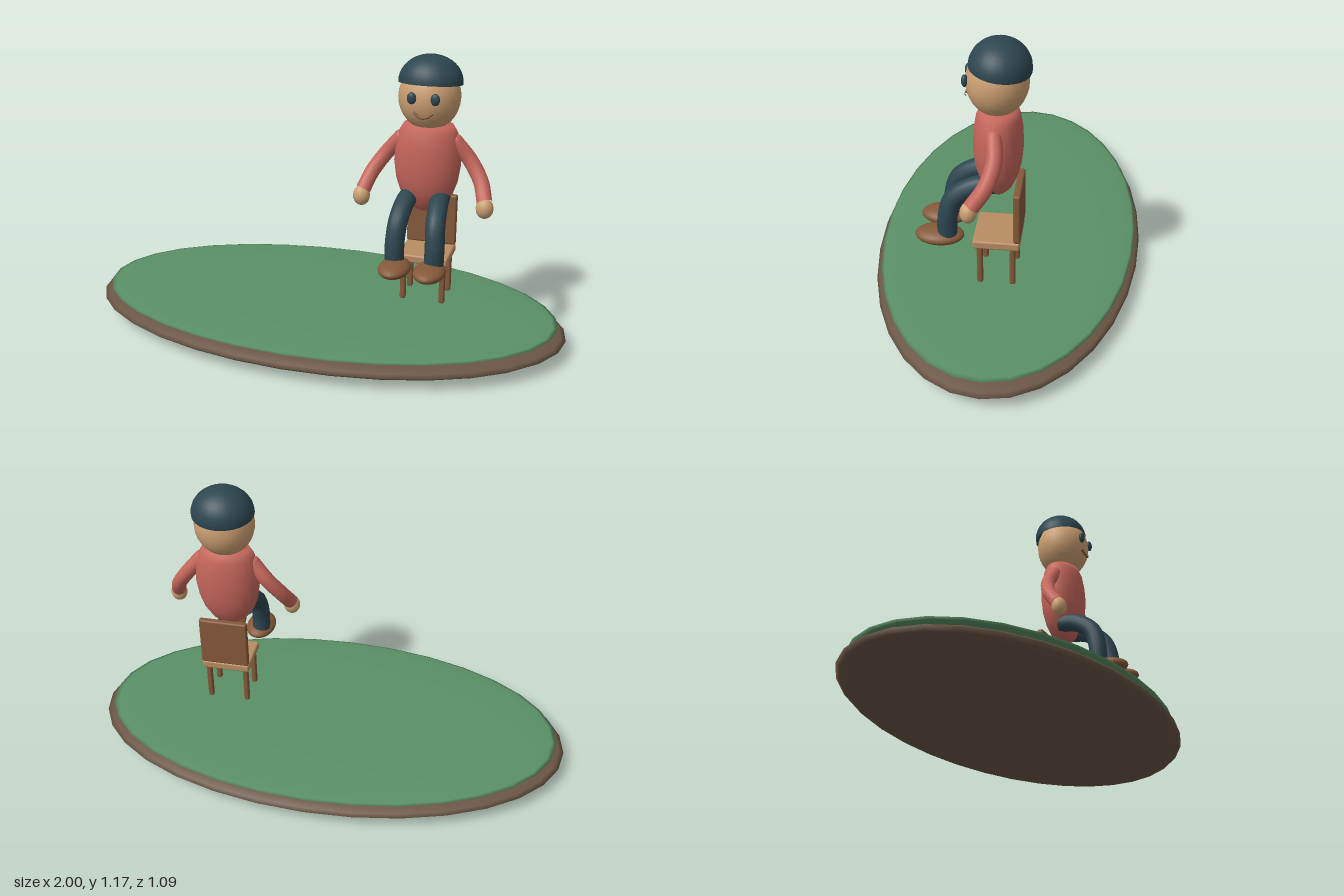
import * as THREE from 'three';
import { RoundedBoxGeometry } from 'three/addons/geometries/RoundedBoxGeometry.js';

const material = (name, color, side = THREE.FrontSide) => {
  const m = new THREE.MeshStandardMaterial({ color, side });
  m.name = name;
  return m;
};

export function createModel() {
  const grass = material('grass green', 0x5a9066);
  const earth = material('earth brown', 0x6b5645);
  const skin = material('skin', 0xcb9f72);
  const shirt = material('coral shirt', 0xc5665b);
  const navy = material('dark teal', 0x2d4650, THREE.DoubleSide);
  const wood = material('dark wood', 0x85593a);
  const seatWood = material('light wood', 0xb98c62);
  const V = (x, y, z) => new THREE.Vector3(x, y, z);

  const model = new THREE.Group();
  model.name = 'seatedFigureOnIsland';

  const add = (parent, name, geometry, mat, x = 0, y = 0, z = 0) => {
    const mesh = new THREE.Mesh(geometry, mat);
    mesh.name = name;
    mesh.position.set(x, y, z);
    parent.add(mesh);
    return mesh;
  };
  const ellipsoid = (rx, ry, rz, w = 24, h = 16) =>
    new THREE.SphereGeometry(1, w, h).scale(rx, ry, rz);
  const tube = (points, r) =>
    new THREE.TubeGeometry(new THREE.CatmullRomCurve3(points), 24, r, 14);

  // Island: two flattened discs
  add(model, 'islandBase', ellipsoid(1, 0.06, 0.545, 32, 16), earth, 0, 0.06, 0);
  add(model, 'grassTop', ellipsoid(0.965, 0.018, 0.525, 32, 16), grass, 0, 0.105, 0);

  // Chair
  const chair = new THREE.Group();
  chair.name = 'chair';
  chair.position.x = 0.43;
  model.add(chair);
  add(chair, 'seat', new RoundedBoxGeometry(0.2, 0.034, 0.178, 3, 0.008), seatWood, 0, 0.367, 0);
  add(chair, 'backrest', new RoundedBoxGeometry(0.2, 0.211, 0.027, 3, 0.008), wood, 0, 0.489, -0.078);
  for (const x of [-0.079, 0.079]) {
    for (const z of [0.063, -0.061]) {
      add(chair, 'chairLeg', new RoundedBoxGeometry(0.023, 0.175, 0.023, 3, 0.008), wood, x, 0.272, z);
    }
  }

  // Figure
  const figure = new THREE.Group();
  figure.name = 'figure';
  figure.position.x = 0.42;
  model.add(figure);

  // Torso: an egg-shaped lathe, narrower front to back
  const profile = [[0, 0.548], [0.04, 0.555], [0.075, 0.583], [0.105, 0.63], [0.122, 0.68], [0.132, 0.75],
    [0.127, 0.82], [0.115, 0.87], [0.096, 0.903], [0, 0.915]].map(([r, y]) => new THREE.Vector2(r, y));
  add(figure, 'torso', new THREE.LatheGeometry(profile, 24).scale(1, 1, 0.7), shirt);

  // Head, cap and face
  add(figure, 'head', ellipsoid(0.12, 0.13, 0.114), skin, 0, 1.01, 0.002);
  const cap = add(figure, 'cap',
    new THREE.SphereGeometry(1, 24, 10, 0, Math.PI * 2, 0, Math.PI * 0.52).scale(0.124, 0.104, 0.114),
    navy, 0, 1.066, -0.008);
  cap.rotation.x = -0.12;
  add(figure, 'mouth',
    tube([V(-0.036, 0.97, 0.107), V(-0.018, 0.957, 0.113), V(0, 0.952, 0.115),
      V(0.018, 0.957, 0.113), V(0.036, 0.97, 0.107)], 0.005), wood);

  for (const s of [-1, 1]) {
    const side = s > 0 ? 'left' : 'right';
    add(figure, side + 'Eye', ellipsoid(0.018, 0.023, 0.012, 16, 12), navy, s * 0.045, 1.025, 0.112);

    // Arm and hand
    add(figure, side + 'Arm',
      tube([V(s * 0.107, 0.84, 0.003), V(s * 0.165, 0.77, -0.004), V(s * 0.215, 0.695, 0.022),
        V(s * 0.24, 0.63, 0.068)], 0.03), shirt);
    add(figure, side + 'Shoulder', ellipsoid(0.03, 0.03, 0.03, 14, 10), shirt, s * 0.107, 0.84, 0.003);
    add(figure, side + 'Hand', ellipsoid(0.034, 0.04, 0.031, 16, 12), skin, s * 0.243, 0.609, 0.078);

    // Leg and shoe
    add(figure, side + 'Leg',
      tube([V(s * 0.06, 0.615, 0.012), V(s * 0.066, 0.602, 0.085), V(s * 0.073, 0.55, 0.158),
        V(s * 0.078, 0.47, 0.183), V(s * 0.077, 0.385, 0.185)], 0.038), navy);
    add(figure, side + 'Shoe', ellipsoid(0.062, 0.031, 0.093), wood, s * 0.068, 0.38, 0.217);
  }
  return model;
}
